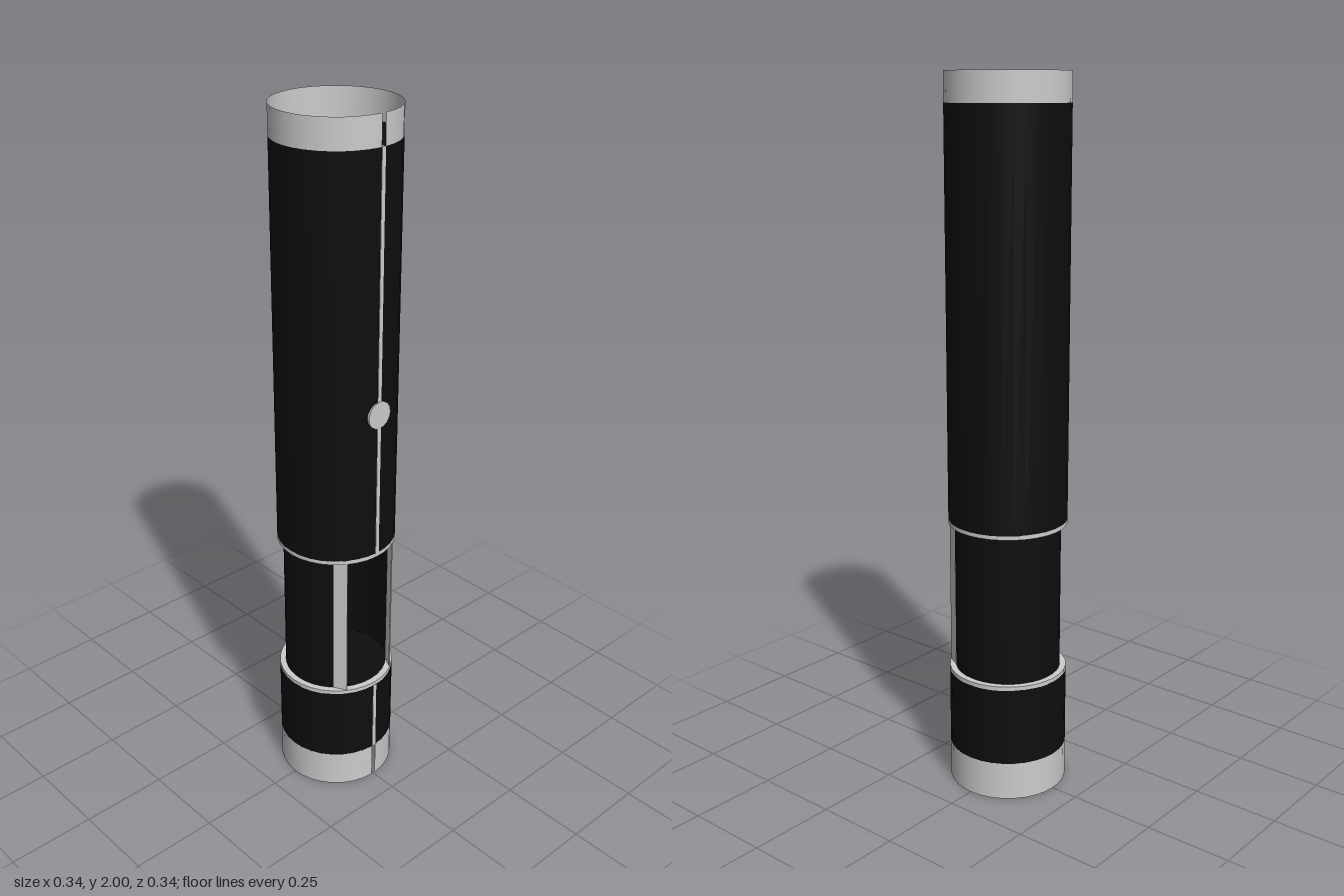
import * as THREE from 'three';

const R = 0.168, INNER = 0.15, SEG = 32;

export function createModel() {
  const model = new THREE.Group();
  const grey = new THREE.MeshStandardMaterial({ color: 0xcccccc });
  const greyThin = new THREE.MeshStandardMaterial({ color: 0xcccccc, side: THREE.DoubleSide });
  const black = new THREE.MeshStandardMaterial({ color: 0x0e0e0e });
  const blackThin = new THREE.MeshStandardMaterial({ color: 0x0e0e0e, side: THREE.DoubleSide });

  const add = (name, geometry, material, x = 0, y = 0, z = 0) => {
    const mesh = new THREE.Mesh(geometry, material);
    mesh.name = name;
    mesh.position.set(x, y, z);
    model.add(mesh);
    return mesh;
  };
  const solid = (name, r, y0, y1) =>
    add(name, new THREE.CylinderGeometry(r, r, y1 - y0, SEG), black, 0, (y0 + y1) / 2);
  // open tube wall with a gap of the given half angle on the +x side
  const wall = (name, r, y0, y1, gap, material) =>
    add(name, new THREE.CylinderGeometry(r, r, y1 - y0, SEG, 1, true,
      Math.PI / 2 + gap, 2 * (Math.PI - gap)), material, 0, (y0 + y1) / 2);
  const washer = (name, y0, y1) => {
    const points = [[INNER, y0], [R, y0], [R, y0], [R, y1], [R, y1], [INNER, y1]]
      .map(([r, y]) => new THREE.Vector2(r, y));
    add(name, new THREE.LatheGeometry(points, SEG), greyThin);
  };

  // thin collars at both ends, split along the seam
  wall('topCollar', R, 1.92, 2, 0.036, greyThin);
  wall('bottomCollar', R, 0, 0.11, 0.036, greyThin);

  // dark upper and lower bodies, each with a seam strip reaching inwards
  for (const [part, y0, y1] of [['upper', 0.79, 1.92], ['lower', 0.11, 0.336]]) {
    solid(part + 'Body', R, y0, y1);
    add(part + 'Seam', new THREE.BoxGeometry(0.139, y1 - y0 + 0.002, 0.012), grey,
      0.0995, (y0 + y1) / 2);
  }

  // pale edges and dark faces bordering the window section
  washer('upperEdge', 0.779, 0.791);
  washer('lowerEdge', 0.335, 0.347);
  solid('windowCeiling', INNER, 0.781, 0.795);
  solid('windowFloor', INNER, 0.33, 0.345);

  // recessed wall, open for a quarter turn on the side
  wall('windowWall', INNER, 0.345, 0.781, Math.PI / 4, blackThin);

  // slanted jambs on both sides of the opening
  for (const side of [1, -1]) {
    const dx = 0.036, dz = -0.019 * side;
    const jamb = add(side > 0 ? 'frontJamb' : 'backJamb',
      new THREE.BoxGeometry(Math.hypot(dx, dz), 0.436, 0.003), grey,
      0.1235, 0.563, 0.0955 * side);
    jamb.rotation.y = -Math.atan2(dz, dx);
  }

  // round button on the seam
  const button = add('sideButton', new THREE.CylinderGeometry(0.039, 0.039, 0.02, 16), grey, 0.16, 1.215);
  button.rotation.z = -Math.PI / 2;

  return model;
}
